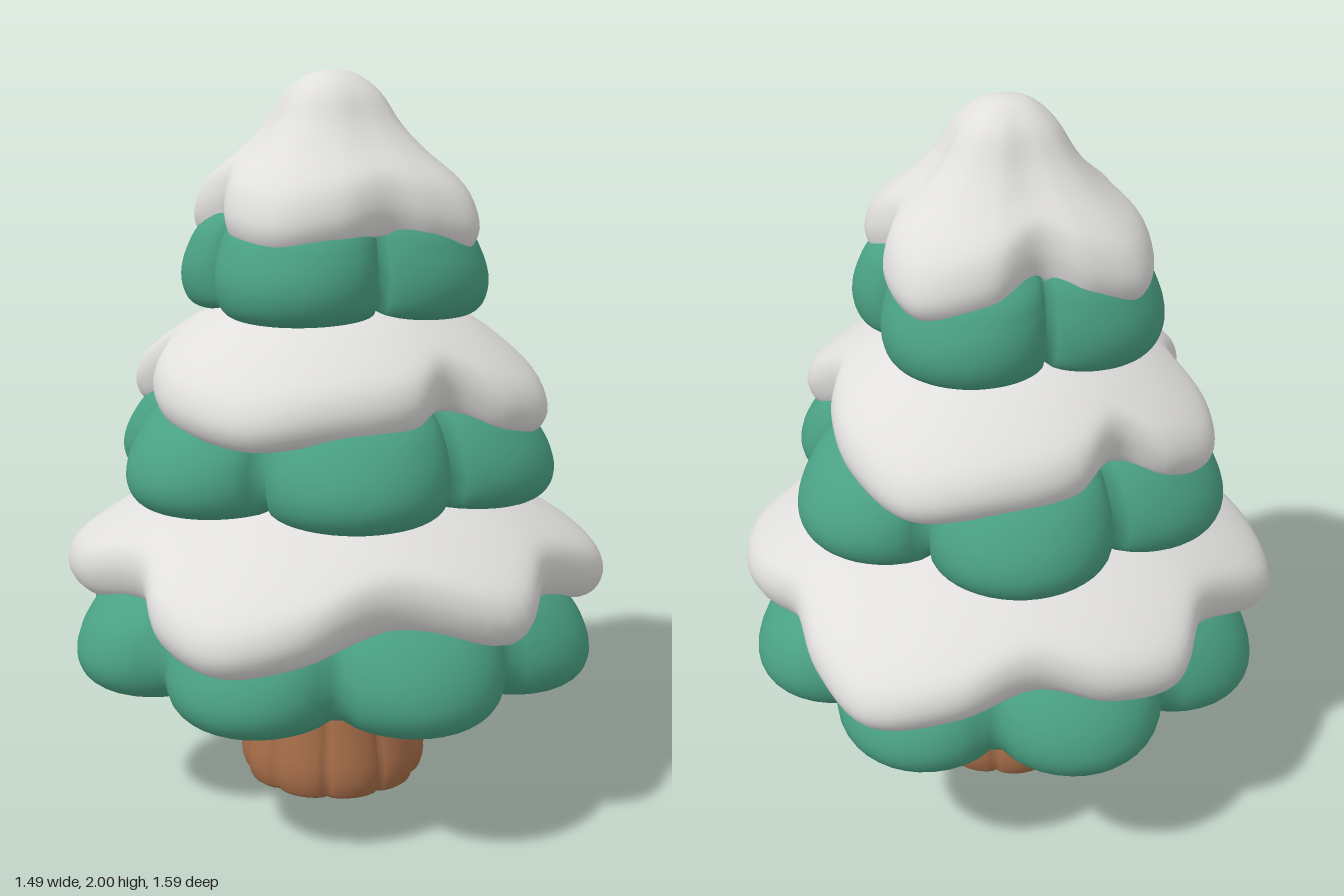
import * as THREE from 'three';

const SEG = 120;
const snowMat = new THREE.MeshStandardMaterial({ color: 0xe0dfdd });
snowMat.name = 'snow';
const leafMat = new THREE.MeshStandardMaterial({ color: 0x4aa184 });
leafMat.name = 'foliage green';
const barkMat = new THREE.MeshStandardMaterial({ color: 0xa56c48 });
barkMat.name = 'bark brown';

// Smooth closed outline through [degrees, radius] keys, as [angle, radius] pairs
function keyedOutline(keys) {
  const pts = keys.map(([deg, r]) => {
    const a = THREE.MathUtils.degToRad(deg);
    return new THREE.Vector3(Math.cos(a) * r, 0, Math.sin(a) * r);
  });
  return new THREE.CatmullRomCurve3(pts, true).getPoints(SEG).slice(0, SEG)
    .map(p => [Math.atan2(p.z, p.x), Math.hypot(p.x, p.z)]);
}

// Outline of n round lobes with creases between them
function lobedOutline(n, rMax, rMin) {
  return Array.from({ length: SEG }, (_, i) => {
    const a = (i / SEG) * Math.PI * 2;
    return [a, rMin + (rMax - rMin) * Math.pow(Math.abs(Math.cos(a * n / 2)), 0.6)];
  });
}

// Closed solid: the profile [outline fraction, y] runs from bottom centre to top centre.
// The outline fades to a circle inwards; its valleys are raised by lift at the rim.
function lobedSolid(name, material, outline, profile, lift, steps = 44) {
  const radii = outline.map(o => o[1]);
  const rMax = Math.max(...radii), rMin = Math.min(...radii);
  const mean = radii.reduce((s, r) => s + r, 0) / SEG;
  const rings = new THREE.SplineCurve(profile.map(p => new THREE.Vector2(...p))).getPoints(steps);
  const pos = [], index = [];
  rings.forEach(({ x, y }, i) => {
    const s = Math.max(0, x);
    for (const [a, R] of outline) {
      const r = s * THREE.MathUtils.lerp(mean, R, Math.min(1, s));
      const up = lift * s * s * s * (rMax - R) / (rMax - rMin);
      pos.push(Math.cos(a) * r, y + up, Math.sin(a) * r);
    }
    if (i === 0) return;
    for (let j = 0; j < SEG; j++) {
      const k = (j + 1) % SEG, lo = (i - 1) * SEG, hi = i * SEG;
      index.push(lo + j, hi + j, hi + k, lo + j, hi + k, lo + k);
    }
  });
  const geo = new THREE.BufferGeometry();
  geo.setAttribute('position', new THREE.Float32BufferAttribute(pos, 3));
  geo.setIndex(index);
  geo.computeVertexNormals();
  const mesh = new THREE.Mesh(geo, material);
  mesh.name = name;
  return mesh;
}

// Snow rims: uneven drips around each tier
const lowerSnow = [[-14, .765], [8, .66], [28, .74], [55, .64], [75, .74], [90, .79], [105, .74],
  [121, .64], [145, .72], [167, .765], [190, .655], [207, .74], [222, .72], [238, .66], [255, .74],
  [272, .80], [288, .74], [305, .67], [320, .72], [332, .755]];
const middleSnow = [[0, .61], [14, .57], [29, .475], [45, .53], [65, .55], [90, .59], [115, .56],
  [135, .52], [153, .46], [167, .56], [180, .60], [194, .56], [207, .47], [225, .53], [247, .56],
  [270, .60], [293, .55], [313, .5], [330, .465], [346, .57]];
const upperSnow = [[4, .42], [22, .37], [40, .33], [65, .37], [90, .405], [115, .37], [143, .305],
  [165, .38], [189, .42], [208, .36], [227, .29], [250, .37], [276, .425], [300, .375], [318, .305],
  [342, .37]];

const tiers = [
  {
    name: 'lower', lobes: 8, rMax: .745, rMin: .60,
    leaf: [[0, .43], [.3, .42], [.6, .385], [.84, .355], [.96, .38], [1, .45], [.95, .55], [.82, .64],
      [.5, .76], [0, .82]],
    snow: lowerSnow, lift: .11,
    cap: [[0, .74], [.45, .71], [.78, .61], [.9, .54], [.97, .55], [1, .61], [.95, .69], [.77, .79],
      [.55, .87], [.3, .93], [0, .95]],
  },
  {
    name: 'middle', lobes: 6, rMax: .63, rMin: .47,
    leaf: [[0, .91], [.3, .9], [.6, .885], [.84, .865], [.96, .885], [1, .95], [.95, 1.04], [.82, 1.13],
      [.5, 1.24], [0, 1.3]],
    snow: middleSnow, lift: .12,
    cap: [[0, 1.24], [.45, 1.2], [.78, 1.12], [.9, 1.06], [.97, 1.065], [1, 1.12], [.94, 1.2],
      [.75, 1.3], [.55, 1.37], [.3, 1.42], [0, 1.44]],
  },
  {
    name: 'upper', lobes: 4, rMax: .435, rMin: .30,
    leaf: [[0, 1.4], [.3, 1.39], [.6, 1.375], [.82, 1.355], [.95, 1.375], [1, 1.44], [.96, 1.52],
      [.84, 1.6], [.5, 1.7], [0, 1.74]],
    snow: upperSnow, lift: .09,
    cap: [[0, 1.7], [.45, 1.66], [.75, 1.58], [.9, 1.535], [.97, 1.545], [1, 1.6], [.91, 1.69],
      [.65, 1.79], [.49, 1.86], [.35, 1.94], [.17, 1.99], [0, 2.0]],
  },
];

export function createModel() {
  const tree = new THREE.Group();
  tree.name = 'snowyTree';

  // Flared trunk with bark grooves
  const bark = Array.from({ length: SEG }, (_, i) => {
    const a = (i / SEG) * Math.PI * 2;
    return [a, .245 + .022 * Math.pow(Math.abs(Math.sin(a * 5)), 0.5)];
  });
  tree.add(lobedSolid('trunk', barkMat, bark,
    [[0, 0], [.45, 0], [.88, .003], [.98, .03], [1, .09], [.93, .19], [.86, .3], [.84, .42], [.7, .5], [0, .52]], 0));

  // Foliage skirts, each with its snow cap
  for (const t of tiers) {
    const tier = new THREE.Group();
    tier.name = t.name + 'Tier';
    tier.add(
      lobedSolid(t.name + 'Foliage', leafMat, lobedOutline(t.lobes, t.rMax, t.rMin), t.leaf, .04),
      lobedSolid(t.name + 'Snow', snowMat, keyedOutline(t.snow), t.cap, t.lift),
    );
    tree.add(tier);
  }
  return tree;
}
